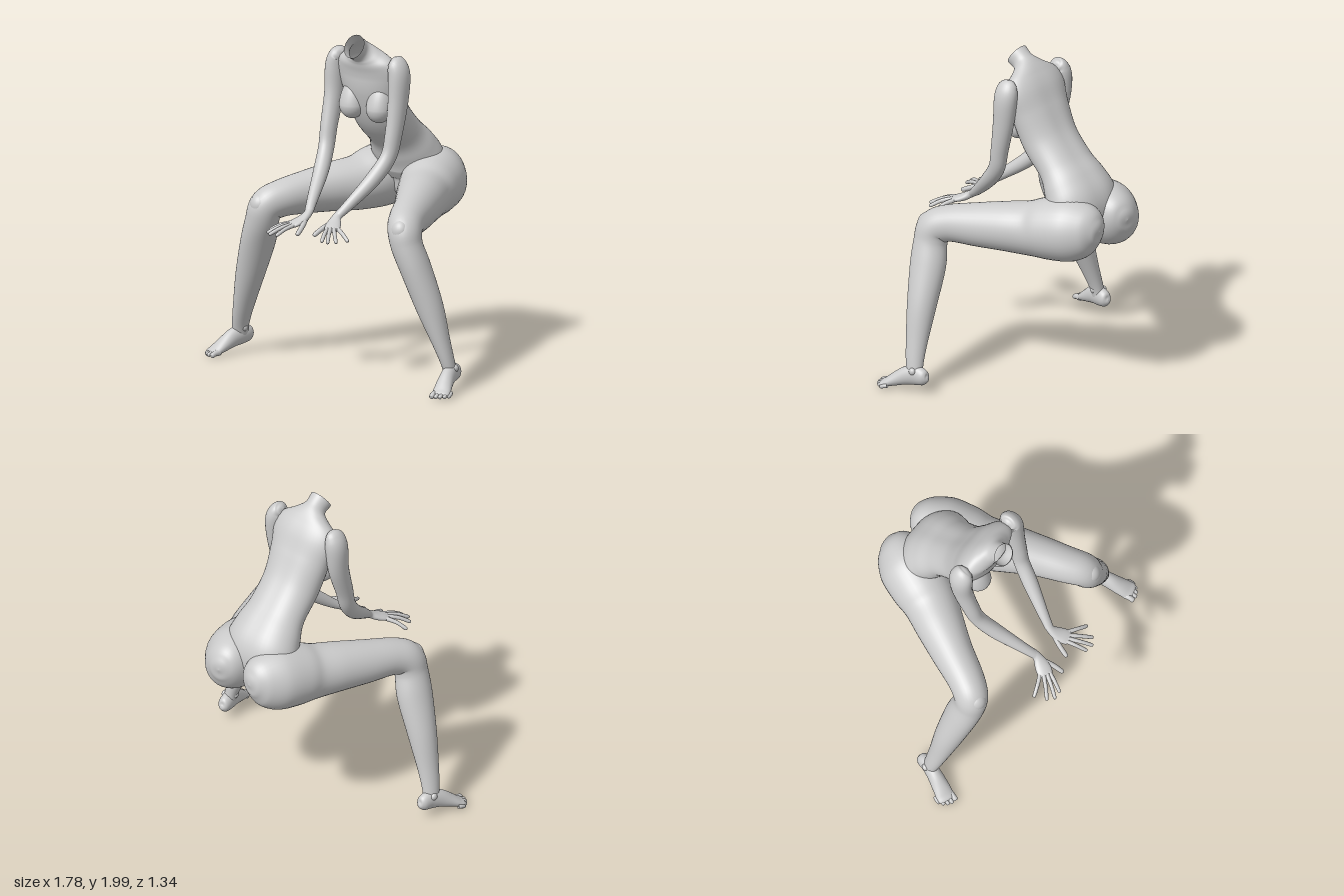
import * as THREE from 'three';

const material = new THREE.MeshStandardMaterial({ color: 0xcccccc, side: THREE.DoubleSide });

// Smooth tube through rows of [x, y, z, halfWidth, halfDepth]; ref is the width direction.
function loft(name, rows, ref = [1, 0, 0], sides = 28, steps = 6, shape = () => 1) {
  const path = new THREE.CatmullRomCurve3(rows.map(r => new THREE.Vector3(r[0], r[1], r[2])), false, 'catmullrom');
  const radii = new THREE.CatmullRomCurve3(rows.map(r => new THREE.Vector3(r[3], r[4], 0)), false, 'catmullrom');
  const count = (rows.length - 1) * steps;
  const positions = [], index = [];
  const side = new THREE.Vector3(...ref);
  for (let i = 0; i <= count; i++) {
    const k = i / count;
    const c = path.getPoint(k), r = radii.getPoint(k), t = path.getTangent(k);
    const u = side.clone().addScaledVector(t, -side.dot(t)).normalize();
    const v = t.clone().cross(u);
    for (let j = 0; j < sides; j++) {
      const a = (j / sides) * Math.PI * 2;
      const p = c.clone()
        .addScaledVector(u, Math.max(r.x, 0.0005) * Math.cos(a))
        .addScaledVector(v, Math.max(r.y, 0.0005) * Math.sin(a) * shape(a, k));
      positions.push(p.x, p.y, p.z);
      if (i < count) {
        const n = i * sides + j, m = i * sides + (j + 1) % sides;
        index.push(n, m, n + sides, m, m + sides, n + sides);
      }
    }
  }
  const geometry = new THREE.BufferGeometry();
  geometry.setAttribute('position', new THREE.Float32BufferAttribute(positions, 3));
  geometry.setIndex(index);
  geometry.computeVertexNormals();
  const mesh = new THREE.Mesh(geometry, material);
  mesh.name = name;
  return mesh;
}

function ellipsoid(name, center, size) {
  const mesh = new THREE.Mesh(new THREE.SphereGeometry(1, 28, 20).scale(...size), material);
  mesh.position.set(...center);
  mesh.name = name;
  return mesh;
}

// Thin rounded digit through a few points
function digit(name, points, r) {
  const rows = points.map((p, i) => [...p, r * (1 - 0.12 * i), r * (1 - 0.12 * i)]);
  const a = points[points.length - 2], b = points[points.length - 1];
  const tip = b.map((v, i) => v + (v - a[i]) * 0.14);
  rows.push([...tip, 0, 0]);
  return loft(name, rows, [1, 0, 0], 10, 5);
}

function createTorso() {
  // Shallow groove down the spine
  const groove = (a, k) => {
    const d = (a - Math.PI / 2) / 0.3;
    return 1 - 0.07 * Math.exp(-d * d) * Math.sin(Math.PI * Math.min(1, k * 1.15));
  };
  return loft('torso', [
    [0, 0.905, -0.39, 0, 0],
    [0, 0.95, -0.41, 0.09, 0.09],
    [0, 1.05, -0.44, 0.19, 0.14],
    [0, 1.16, -0.425, 0.235, 0.165],
    [0, 1.26, -0.365, 0.215, 0.15],
    [0, 1.35, -0.29, 0.185, 0.128],
    [0, 1.48, -0.165, 0.183, 0.135],
    [0, 1.64, -0.085, 0.2, 0.122],
    [0, 1.76, -0.045, 0.215, 0.1],
    [0, 1.83, -0.01, 0.185, 0.083],
    [0, 1.87, 0.018, 0.115, 0.072],
    [0, 1.897, 0.05, 0.066, 0.067],
    [0, 1.928, 0.1, 0.066, 0.073],
  ], [1, 0, 0], 48, 6, groove);
}

function createBreast(s) {
  const mesh = ellipsoid('breast', [s * 0.098, 1.55, -0.01], [0.078, 0.085, 0.075]);
  // Upper half drawn out into the chest
  const p = mesh.geometry.attributes.position;
  for (let i = 0; i < p.count; i++) {
    const y = p.getY(i);
    if (y > 0) {
      p.setY(i, y * 1.9);
      p.setZ(i, p.getZ(i) - y * 0.35);
    }
  }
  mesh.geometry.computeVertexNormals();
  return mesh;
}

// Buttock, thigh, knee and calf in one sweep
function createLeg(s) {
  const leg = new THREE.Group();
  leg.name = s > 0 ? 'leftLeg' : 'rightLeg';
  const m = rows => rows.map(([x, ...rest]) => [s * x, ...rest]);
  leg.add(loft('thighAndCalf', m([
    [0.115, 1.08, -0.682, 0, 0],
    [0.118, 1.08, -0.665, 0.065, 0.075],
    [0.128, 1.075, -0.61, 0.125, 0.145],
    [0.155, 1.055, -0.5, 0.175, 0.19],
    [0.2, 1.03, -0.36, 0.178, 0.184],
    [0.242, 1.01, -0.25, 0.16, 0.162],
    [0.31, 1.003, -0.12, 0.143, 0.147],
    [0.385, 0.99, 0.03, 0.122, 0.13],
    [0.455, 0.972, 0.19, 0.108, 0.11],
    [0.503, 0.935, 0.272, 0.1, 0.106],
    [0.53, 0.85, 0.285, 0.093, 0.1],
    [0.575, 0.72, 0.262, 0.09, 0.107],
    [0.655, 0.5, 0.235, 0.08, 0.087],
    [0.72, 0.3, 0.212, 0.054, 0.065],
    [0.755, 0.18, 0.195, 0.041, 0.053],
    [0.768, 0.1, 0.18, 0.038, 0.045],
  ]), [s * 0.855, 0.31, -0.38], 36));
  leg.add(ellipsoid('kneecap', [s * 0.515, 0.945, 0.325], [0.06, 0.07, 0.058]));
  leg.add(ellipsoid('innerAnkle', [s * 0.73, 0.155, 0.19], [0.018, 0.022, 0.022]));
  leg.add(ellipsoid('outerAnkle', [s * 0.797, 0.14, 0.175], [0.018, 0.022, 0.022]));
  leg.add(loft('foot', m([
    [0.754, 0.11, 0.092, 0, 0],
    [0.755, 0.108, 0.1, 0.024, 0.03],
    [0.758, 0.108, 0.125, 0.038, 0.05],
    [0.768, 0.108, 0.18, 0.041, 0.06],
    [0.785, 0.093, 0.235, 0.044, 0.054],
    [0.806, 0.062, 0.295, 0.05, 0.04],
    [0.826, 0.035, 0.345, 0.053, 0.026],
    [0.838, 0.024, 0.375, 0.045, 0.016],
    [0.842, 0.02, 0.385, 0, 0],
  ]), [s * 0.95, 0, -0.28]));
  // Toes, big to little
  const tips = [[0.802, 0.412], [0.829, 0.41], [0.85, 0.398], [0.868, 0.378], [0.88, 0.352]];
  tips.forEach(([x, z], i) => leg.add(digit('toe', [
    [s * (0.79 + i * 0.019), 0.03, 0.35 - i * 0.01],
    [s * (x - 0.004), 0.026, z - 0.025],
    [s * x, 0.016, z - 0.002],
  ], i ? 0.014 : 0.019)));
  return leg;
}

// The right arm reaches a little further forward than the left
function createArm(s) {
  const arm = new THREE.Group();
  arm.name = s > 0 ? 'leftArm' : 'rightArm';
  const bend = s > 0 ? 0 : 0.03, reach = s > 0 ? 0 : 0.045;
  const at = (x, y, z) => [s * x, y, z + reach];
  arm.add(loft('armAndForearm', [
    [s * 0.175, 1.85, -0.025, 0, 0],
    [s * 0.19, 1.843, -0.027, 0.035, 0.045],
    [s * 0.215, 1.82, -0.03, 0.052, 0.067],
    [s * 0.23, 1.75, -0.03, 0.06, 0.074],
    [s * 0.232, 1.6, -0.015, 0.054, 0.067],
    [s * 0.227, 1.42, 0.02 + bend * 0.7, 0.048, 0.055],
    [s * 0.215, 1.29, 0.055 + bend, 0.045, 0.05],
    [s * 0.178, 1.17, 0.155 + bend, 0.045, 0.045],
    [s * 0.12, 1.045, 0.295 + reach, 0.032, 0.032],
    [s * 0.09, 0.985, 0.37 + reach, 0.026, 0.022],
  ]));
  // Palm
  arm.add(loft('palm', [
    [...at(0.095, 1.0, 0.35), 0.026, 0.022],
    [...at(0.09, 0.975, 0.385), 0.028, 0.022],
    [...at(0.102, 0.95, 0.425), 0.042, 0.022],
    [...at(0.122, 0.933, 0.468), 0.046, 0.018],
    [...at(0.13, 0.926, 0.49), 0.036, 0.013],
    [...at(0.134, 0.924, 0.498), 0, 0],
  ], [s * 0.93, 0, -0.35]));
  // Fingers, index to little: knuckle and tip
  const fingers = [
    [0.1, 0.478, 0.147, 0.605], [0.122, 0.484, 0.193, 0.61],
    [0.141, 0.476, 0.23, 0.58], [0.154, 0.458, 0.262, 0.512],
  ];
  fingers.forEach(([kx, kz, tx, tz]) => arm.add(digit('finger', [
    at(kx, 0.932, kz),
    at(kx * 0.5 + tx * 0.5, 0.917, kz * 0.5 + tz * 0.5),
    at(tx, 0.886, tz - 0.006),
  ], 0.0135)));
  arm.add(digit('thumb', [at(0.083, 0.955, 0.41), at(0.058, 0.925, 0.475), at(0.045, 0.895, 0.535)], 0.017));
  return arm;
}

export function createModel() {
  const model = new THREE.Group();
  model.name = 'seatedFigure';
  model.add(createTorso());
  for (const s of [1, -1]) model.add(createBreast(s), createLeg(s), createArm(s));
  return model;
}
